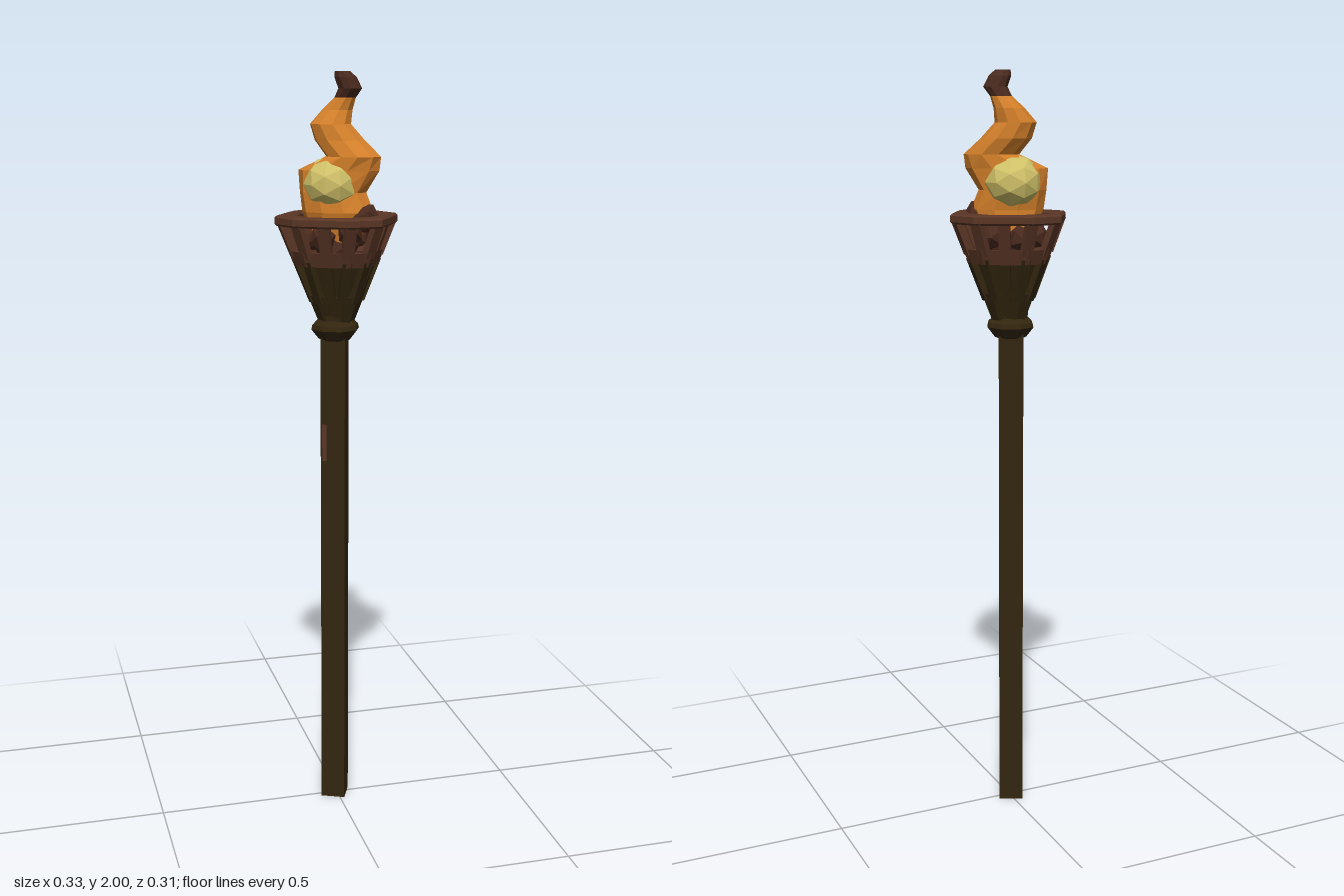
import * as THREE from 'three';

const mat = (name, color) => {
  const m = new THREE.MeshStandardMaterial({ color });
  m.name = name;
  return m;
};

// Skin over rings of points, flat shaded, with optional end caps
function loft(rings, caps = false) {
  const n = rings[0].length, pos = [];
  const tri = (...pts) => pts.forEach(p => pos.push(p.x, p.y, p.z));
  for (let j = 0; j < rings.length - 1; j++) {
    for (let i = 0; i < n; i++) {
      const k = (i + 1) % n;
      const a = rings[j][i], b = rings[j][k], c = rings[j + 1][k], d = rings[j + 1][i];
      tri(a, d, b);
      tri(b, d, c);
    }
  }
  if (caps) {
    const first = rings[0], last = rings[rings.length - 1];
    for (let i = 1; i < n - 1; i++) {
      tri(first[0], first[i], first[i + 1]);
      tri(last[0], last[i + 1], last[i]);
    }
  }
  const g = new THREE.BufferGeometry();
  g.setAttribute('position', new THREE.Float32BufferAttribute(pos, 3));
  g.computeVertexNormals();
  return g;
}

// Uneven twelve-point outline of the basket, repeated after half a turn
const RADII = [0.164, 0.143, 0.163, 0.155, 0.138, 0.156];
const outline = (i, scale, y) => {
  const a = (i * Math.PI) / 6, r = RADII[i % 6] * scale;
  return new THREE.Vector3(Math.cos(a) * r, y, Math.sin(a) * r);
};
const taper = y => 0.31 + 0.63 * (y - 1.37) / 0.25;
const basketRing = (y, inset = 0) =>
  Array.from({ length: 12 }, (_, i) => outline(i, taper(y) - inset, y));
const band = (y0, y1, t, out = 0) => loft([
  basketRing(y0, -out), basketRing(y1, -out), basketRing(y1, t), basketRing(y0, t), basketRing(y0, -out)]);

// Rows are [y, centre x, centre z, long radius, short radius]
const flameRings = rows => rows.map(([y, cx, cz, a, b]) =>
  Array.from({ length: 10 }, (_, i) => {
    const t = (i / 10) * Math.PI * 2, rot = 0.5;
    const u = Math.cos(t) * a, v = Math.sin(t) * b;
    return new THREE.Vector3(
      cx + u * Math.cos(rot) - v * Math.sin(rot), y,
      cz + u * Math.sin(rot) + v * Math.cos(rot));
  }));

export function createModel() {
  const model = new THREE.Group();
  model.name = 'torch';
  const darkWood = mat('dark wood', 0x33260f);
  const rust = mat('rusty brown', 0x5a3626);
  const char = mat('charred brown', 0x4a2a1e);
  const orange = mat('flame orange', 0xd4802a);
  const yellow = mat('flame yellow', 0xcfc068);
  for (const m of [darkWood, rust, char, orange, yellow]) m.flatShading = true;

  const add = (name, geometry, material, parent = model) => {
    const mesh = new THREE.Mesh(geometry, material);
    mesh.name = name;
    parent.add(mesh);
    return mesh;
  };

  // Square pole, turned a little, with a worn chip on its front face
  const pole = new THREE.Group();
  pole.name = 'pole';
  pole.position.set(-0.005, 0, -0.002);
  pole.rotation.y = -0.42;
  model.add(pole);
  add('shaft', new THREE.BoxGeometry(0.065, 1.36, 0.065), darkWood, pole).position.y = 0.68;
  add('wornChip', new THREE.BoxGeometry(0.012, 0.1, 0.004), rust, pole).position.set(-0.022, 1.04, 0.0325);

  // Flared collar
  const collar = [[0.035, 1.315], [0.045, 1.32], [0.065, 1.345], [0.062, 1.357], [0.048, 1.37], [0.05, 1.385]];
  const collarMesh = add('collar',
    new THREE.LatheGeometry(collar.map(p => new THREE.Vector2(...p)), 8), darkWood);
  collarMesh.position.x = -0.004;

  // Basket: solid foot, two tiers of bars, middle band and floor
  const basket = new THREE.Group();
  basket.name = 'basket';
  model.add(basket);
  add('basketFoot', band(1.365, 1.435, 0.1), darkWood, basket);
  add('middleBand', band(1.515, 1.553, 0.09, 0.02), rust, basket);
  add('lowerLiner', loft([basketRing(1.37, 0.12), basketRing(1.53, 0.12)], true), darkWood, basket);
  add('basketFloor', loft([basketRing(1.525, 0.06), basketRing(1.54, 0.06)], true), char, basket);
  const tiers = [['lowerBar', 1.42, 1.53, 0.024, darkWood], ['upperBar', 1.54, 1.63, 0.03, rust]];
  for (const [name, y0, y1, width, material] of tiers) {
    for (let i = 0; i < 12; i++) {
      const p = outline(i, taper(y0) - 0.05, y0), q = outline(i, taper(y1) - 0.05, y1);
      const bar = add(name, new THREE.BoxGeometry(width, 0.017, p.distanceTo(q)), material, basket);
      bar.position.copy(p).lerp(q, 0.5);
      bar.up.set(p.x, 0, p.z).normalize();
      bar.lookAt(q);
    }
  }

  // Flat rim with an eight-sided opening
  const rimShape = new THREE.Shape(Array.from({ length: 12 }, (_, i) => {
    const p = outline(i, 0.97, 0);
    return new THREE.Vector2(p.x, p.z);
  }));
  rimShape.holes.push(new THREE.Path(Array.from({ length: 8 }, (_, i) => {
    const a = -(i * Math.PI) / 4 + 0.12;
    return new THREE.Vector2(Math.cos(a) * 0.117, Math.sin(a) * 0.117);
  })));
  const rim = new THREE.ExtrudeGeometry(rimShape, {
    depth: 0.016, bevelThickness: 0.005, bevelSize: 0.005, bevelSegments: 1 });
  rim.rotateX(Math.PI / 2);
  add('rim', rim, rust, basket).position.y = 1.638;

  // Charred lumps around the base of the flame
  const coals = [[0.06, 1.635, 0.055, 0.042], [0.02, 1.6, 0.06, 0.035], [-0.05, 1.585, 0.05, 0.035],
    [-0.07, 1.58, -0.02, 0.035], [0.0, 1.58, -0.07, 0.035], [0.065, 1.585, -0.035, 0.036], [0, 1.56, 0, 0.06]];
  coals.forEach(([x, y, z, r], i) => {
    const coal = add('coal', new THREE.IcosahedronGeometry(r, 0), char);
    coal.position.set(x, y, z);
    coal.rotation.set(i, i * 2, 0);
  });

  // Swaying flame around a pale core, ending in a charred tip
  const neck = [1.935, 0.022, 0.0, 0.028, 0.028];
  add('flame', loft(flameRings([
    [1.575, 0, 0, 0.06, 0.045],
    [1.65, 0.0, 0.012, 0.095, 0.052],
    [1.70, -0.01, 0.0, 0.088, 0.055],
    [1.755, 0.003, 0.008, 0.107, 0.05],
    [1.79, 0.037, 0.028, 0.072, 0.05],
    [1.83, 0.008, 0.0, 0.066, 0.05],
    [1.87, -0.013, -0.013, 0.054, 0.048],
    [1.905, 0.005, -0.013, 0.04, 0.037],
    neck]), true), orange);
  const core = add('flameCore', new THREE.IcosahedronGeometry(0.082, 1), yellow);
  core.position.set(-0.01, 1.72, -0.003);
  core.scale.set(0.95, 0.88, 1);
  add('flameTip', loft(flameRings([
    neck,
    [1.958, 0.032, 0.013, 0.031, 0.032],
    [1.985, 0.02, 0.012, 0.029, 0.03],
    [2.0, 0.012, 0.012, 0.02, 0.022]]), true), char);

  return model;
}
